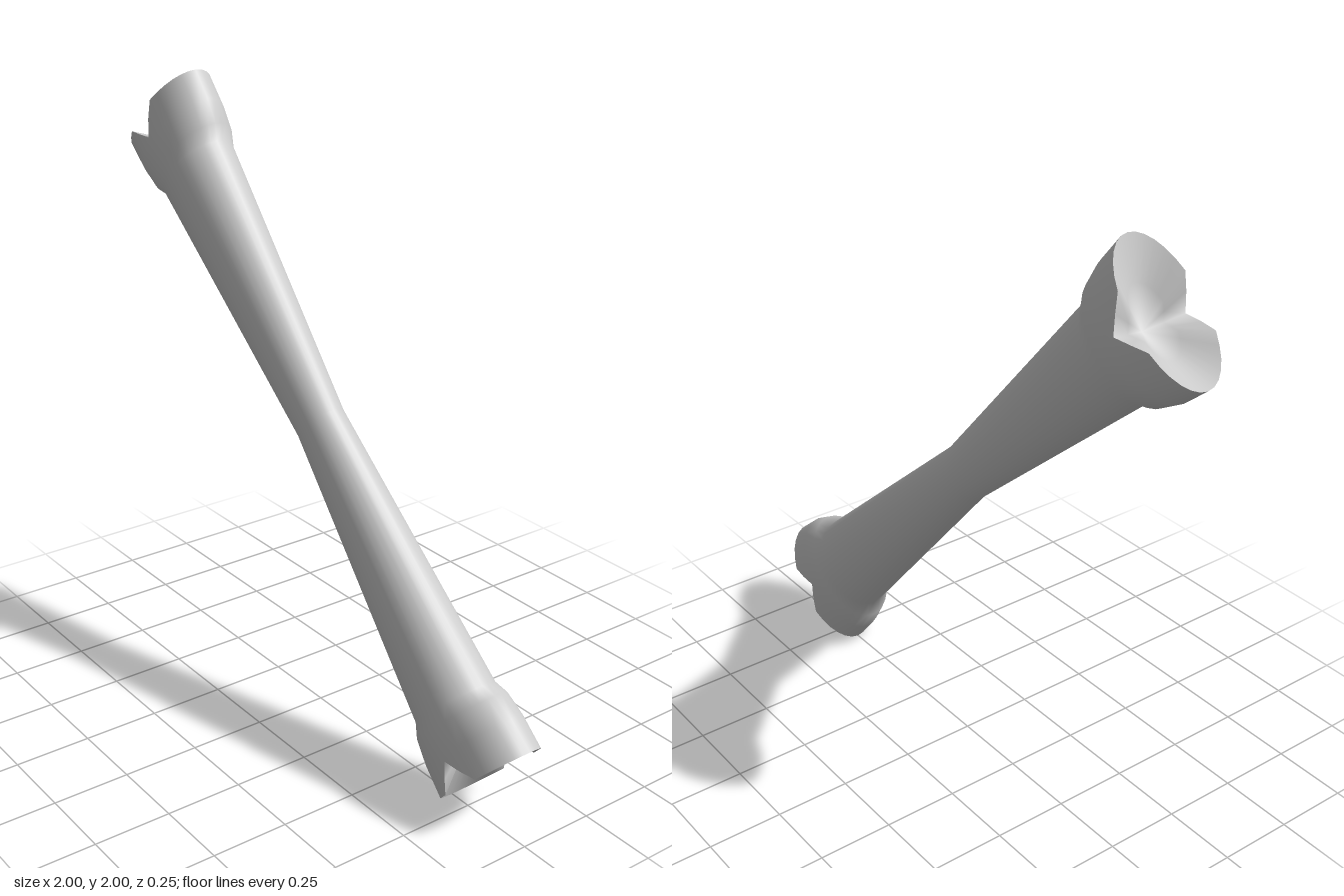
import * as THREE from 'three';

const SEGMENTS = 32;
const material = new THREE.MeshStandardMaterial({ color: 0xcccccc });

// Closed rings of points joined into a surface; each ring is a function of angle.
function loft(rings, close) {
  const positions = [], index = [];
  rings.forEach(ring => {
    for (let j = 0; j < SEGMENTS; j++) {
      positions.push(...ring((j / SEGMENTS) * Math.PI * 2));
    }
  });
  for (let i = 0; i < rings.length - 1; i++) {
    for (let j = 0; j < SEGMENTS; j++) {
      const k = (j + 1) % SEGMENTS;
      const a = i * SEGMENTS + j, b = i * SEGMENTS + k;
      const c = a + SEGMENTS, d = b + SEGMENTS;
      index.push(a, c, b, b, c, d);
    }
  }
  // Optional centre point that closes the last ring
  if (close) {
    const base = (rings.length - 1) * SEGMENTS, centre = positions.length / 3;
    positions.push(...close);
    for (let j = 0; j < SEGMENTS; j++) {
      index.push(centre, base + (j + 1) % SEGMENTS, base + j);
    }
  }
  const geometry = new THREE.BufferGeometry();
  geometry.setAttribute('position', new THREE.Float32BufferAttribute(positions, 3));
  geometry.setIndex(index);
  geometry.computeVertexNormals();
  return geometry;
}

const ellipse = (y, w, d) => a => [w * Math.cos(a), y, d * Math.sin(a)];

// Rim of a knuckle: flat over both lobes, dropping into a V notch between them
const rim = a => {
  const x = 0.229 * Math.cos(a);
  return [x, 1.101 + Math.min(Math.abs(x), 0.085), 0.125 * Math.sin(a)];
};

// The same ring turned half a turn to the other end
const turned = ring => a => {
  const [x, y, z] = ring(Math.PI - a);
  return [-x, -y, z];
};

export function createModel() {
  const model = new THREE.Group();
  model.name = 'bone';

  // Shaft flaring from a narrow waist into the two knuckles
  const half = [
    ellipse(0.955, 0.163, 0.117),
    ellipse(1.0, 0.197, 0.125),
    ellipse(1.08, 0.219, 0.127),
    rim,
  ];
  const rings = [...half.map(turned).reverse(), ellipse(0, 0.095, 0.075), ...half];
  const shaft = new THREE.Mesh(loft(rings), material);
  shaft.name = 'shaft';
  model.add(shaft);

  // Dished end faces inside each rim
  const centre = [0, 1.06, 0];
  const inner = a => rim(a).map((value, i) => THREE.MathUtils.lerp(value, centre[i], 0.5));
  const faceGeometry = loft([rim, inner], centre);
  ['upperEndFace', 'lowerEndFace'].forEach((name, i) => {
    const face = new THREE.Mesh(faceGeometry, material);
    face.name = name;
    face.rotation.z = i * Math.PI;
    model.add(face);
  });

  // Lean the bone along the diagonal
  model.rotation.z = Math.PI / 4;
  model.position.y = 1;
  const root = new THREE.Group();
  root.name = 'boneModel';
  root.add(model);
  return root;
}
